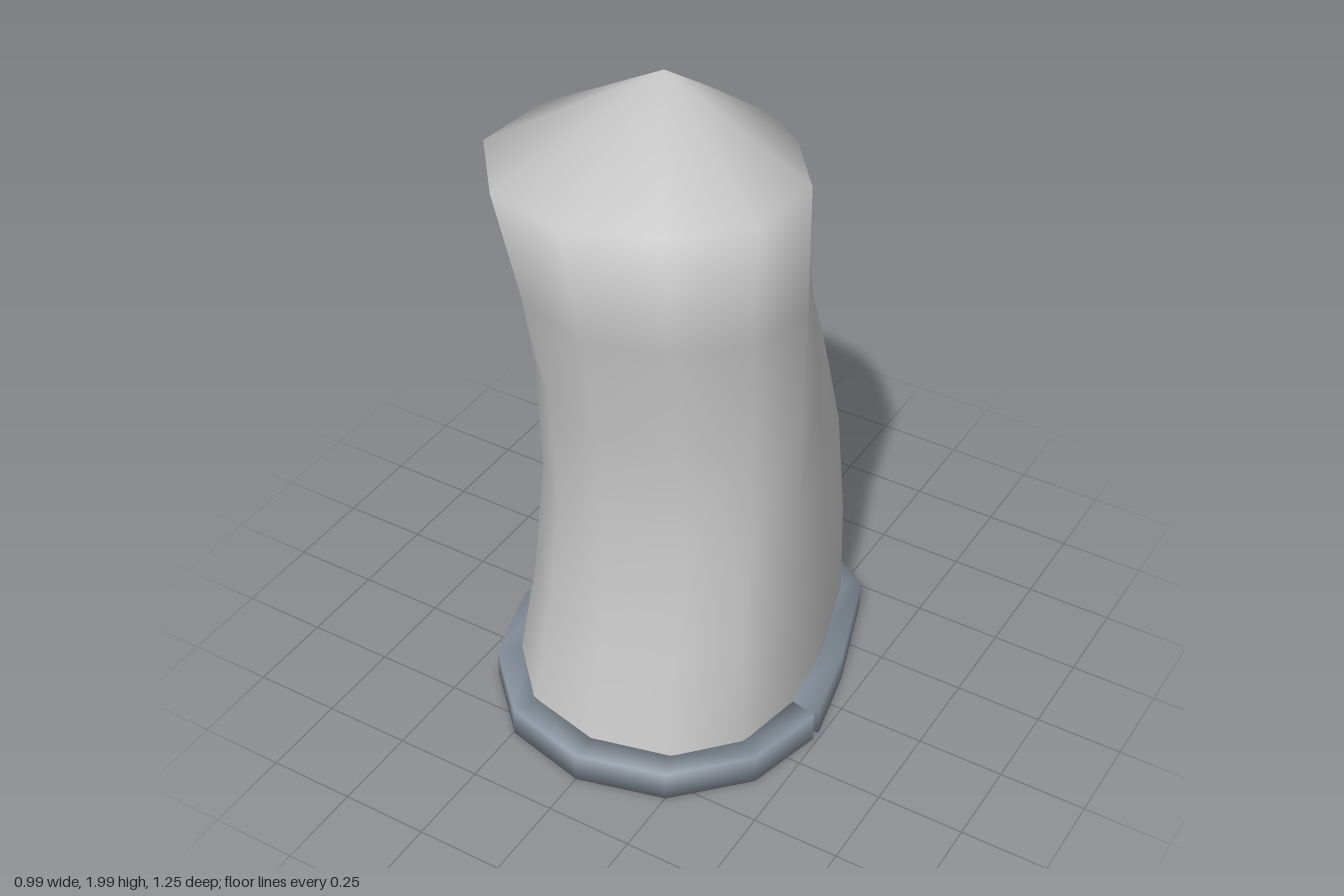
import * as THREE from 'three';
import { mergeVertices } from 'three/addons/utils/BufferGeometryUtils.js';

// Smooth skin through closed rows of points
function loft(rows) {
  const n = rows[0].length, index = [];
  for (let j = 0; j < rows.length - 1; j++) {
    for (let i = 0; i < n; i++) {
      const a = j * n + i, b = j * n + (i + 1) % n;
      index.push(a, a + n, b, b, a + n, b + n);
    }
  }
  const geo = new THREE.BufferGeometry();
  geo.setAttribute('position', new THREE.Float32BufferAttribute(rows.flat(2), 3));
  geo.setIndex(index);
  const merged = mergeVertices(geo);
  merged.computeVertexNormals();
  return merged;
}

const MID_Z = 0.13; // z of the widest line of the sleeve

// Sections as [width, depth], from the back round the left side to the front and on
const BASE = [
  [0, -1], [0.72, -0.755], [0.93, -0.34], [1, 0], [0.9, 0.5], [0.55, 0.87],
  [0, 1], [-0.55, 0.87], [-0.9, 0.5], [-1, 0], [-0.93, -0.34], [-0.72, -0.755],
];
const CROWN = [
  [0, -1], [0.38, -0.88], [0.68, -0.58], [1, 0], [0.95, 0.48], [0.56, 0.83],
  [0, 1], [-0.62, 0.9], [-1.05, 0.48], [-1, 0], [-0.62, -0.53], [-0.36, -0.87],
];

// Rows: height, left width, right width, front z, back z, share of base section, pinch at the front corners
const LEVELS = [
  [0.05, 0.41, 0.42, 0.55, -0.54, 1, 0],
  [0.4, 0.4, 0.39, 0.49, -0.54, 1, 0.5],
  [0.75, 0.405, 0.377, 0.45, -0.48, 0.92, 1],
  [1.1, 0.41, 0.375, 0.47, -0.35, 0.78, 1],
  [1.44, 0.415, 0.375, 0.53, -0.2, 0.62, 0.4],
  [1.8, 0.415, 0.367, 0.6, -0.16, 0, 0],
];

function sleeveRow([y, left, right, front, back, share, pinch]) {
  return CROWN.map(([cw, cd], i) => {
    const w = THREE.MathUtils.lerp(cw, BASE[i][0], share);
    const d = THREE.MathUtils.lerp(cd, BASE[i][1], share);
    const corner = d > 0.1 && d < 0.99;
    const s = corner ? 1 - pinch * (w > 0 ? 0.05 : 0.1) : 1;
    return [s * w * (w > 0 ? left : right), y, MID_Z + s * d * (d > 0 ? front - MID_Z : MID_Z - back)];
  });
}

// Mitred bar along a flat path, with a section of [outward, up] corners and closed ends
function sweep(path, y, section) {
  const pts = path.map(([x, z]) => new THREE.Vector2(x, z));
  const last = pts.length - 1;
  const rows = pts.map((p, j) => {
    const before = p.clone().sub(pts[Math.max(j - 1, 0)]).normalize();
    const after = pts[Math.min(j + 1, last)].clone().sub(p).normalize();
    const t = before.clone().add(after).normalize();
    const mitre = 1 / t.dot(j < last ? after : before);
    return section.map(([out, up]) => [p.x + t.y * out * mitre, y + up, p.y - t.x * out * mitre]);
  });
  const cap = (p) => section.map(() => [p.x, y, p.y]);
  return loft([cap(pts[0]), ...rows, cap(pts[last])]);
}

export function createModel() {
  const model = new THREE.Group();
  model.name = 'sleeve';

  // Bent sleeve, open below, with a pointed crown
  const rows = LEVELS.map(sleeveRow);
  rows.push(CROWN.map(() => [0, 2, MID_Z]));
  const body = new THREE.Mesh(loft(rows),
    new THREE.MeshStandardMaterial({ color: 0xcccccc, side: THREE.DoubleSide }));
  body.name = 'sleeveBody';

  // Square-edged hem with a small split on the left side
  const hemPath = [
    [0.449, 0.137], [0.393, 0.352], [0.231, 0.52], [0, 0.58], [-0.225, 0.525], [-0.39, 0.36],
    [-0.455, 0.13], [-0.402, -0.11], [-0.295, -0.397], [0, -0.578], [0.305, -0.393], [0.402, -0.1], [0.45, 0.125],
  ];
  const hemSection = [[0.04, -0.045], [-0.04, -0.045], [-0.04, 0.045], [0.04, 0.045]];
  const hem = new THREE.Mesh(sweep(hemPath, 0.055, hemSection),
    new THREE.MeshStandardMaterial({ color: 0x8a94a0 }));
  hem.name = 'hem';

  model.add(body, hem);
  return model;
}
